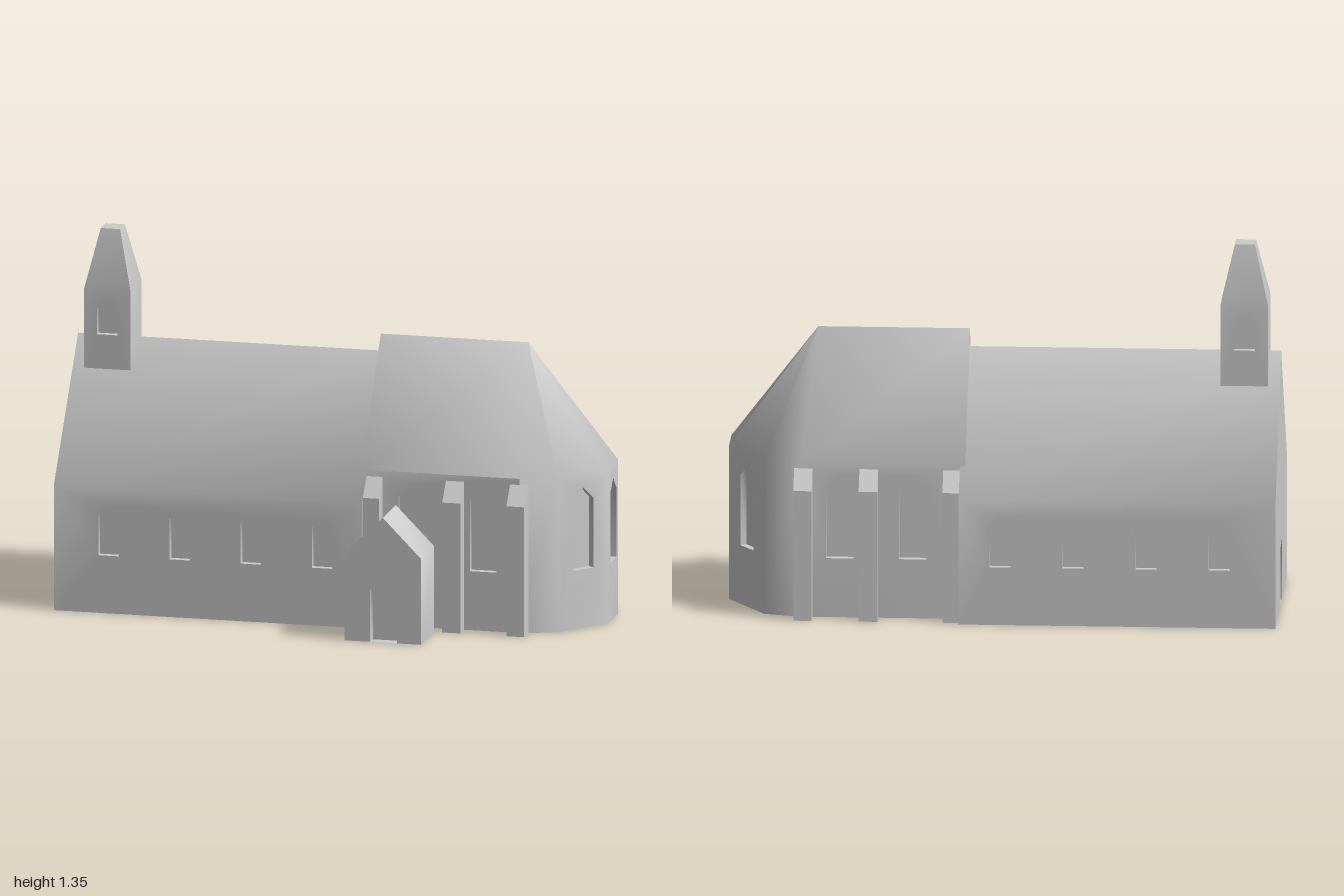
import * as THREE from 'three';
import { mergeGeometries, toCreasedNormals } from 'three/addons/utils/BufferGeometryUtils.js';

const stone = new THREE.MeshStandardMaterial({ color: 0xcccccc });
stone.name = 'pale stone';

// Flat convex polygon, corners counter-clockwise from outside
function face(...pts) {
  const pos = [];
  for (let i = 1; i < pts.length - 1; i++) pos.push(...pts[0], ...pts[i], ...pts[i + 1]);
  const g = new THREE.BufferGeometry();
  g.setAttribute('position', new THREE.Float32BufferAttribute(pos, 3));
  return g;
}

function flat(points) {
  const g = new THREE.ShapeGeometry(points).toNonIndexed();
  g.deleteAttribute('uv');
  g.deleteAttribute('normal');
  return g;
}

// Pointed opening: centre along the wall, width, sill, shoulder, tip, recess depth
const opening = (c, w, y0, y1, y2, d = 0.025) => ({
  d, door: y0 === 0,
  pts: [[c - w / 2, y0], [c + w / 2, y0], [c + w / 2, y1], [c, y2], [c - w / 2, y1]],
});

// Wall from a to b ([x, z], outside on the right), with recessed openings and optional gable tip
function wall(a, b, y0, y1, openings = [], tip = null) {
  const V = (p) => new THREE.Vector2(p[0], p[1]);
  const len = Math.hypot(b[0] - a[0], b[1] - a[1]);
  const outline = [[0, y0]], parts = [];
  for (const { pts, door } of openings) {
    if (door) outline.push(pts[0], pts[4], pts[3], pts[2], pts[1]);
  }
  outline.push([len, y0], [len, y1]);
  if (tip) outline.push([len / 2, tip]);
  outline.push([0, y1]);
  const shape = new THREE.Shape(outline.map(V));
  for (const { pts, door, d } of openings) {
    if (!door) shape.holes.push(new THREE.Path(pts.map(V)));
    parts.push(flat(new THREE.Shape(pts.map(V))).translate(0, 0, -d));
    pts.forEach((p, i) => {
      const q = pts[(i + 1) % pts.length];
      parts.push(face([...p, 0], [...q, 0], [...q, -d], [...p, -d]));
    });
  }
  parts.push(flat(shape));
  const u = new THREE.Vector3((b[0] - a[0]) / len, 0, (b[1] - a[1]) / len);
  const up = new THREE.Vector3(0, 1, 0);
  const m = new THREE.Matrix4().makeBasis(u, up, u.clone().cross(up)).setPosition(a[0], 0, a[1]);
  return mergeGeometries(parts).applyMatrix4(m);
}

// Joins faces into one mesh, smooth over gentle bends and sharp at corners
function solid(name, parts) {
  const mesh = new THREE.Mesh(toCreasedNormals(mergeGeometries(parts), 1.0), stone);
  mesh.name = name;
  return mesh;
}

// Gabled block centred on its origin, ridge along z, front gable facing +z
function gabled(name, w, d, eave, ridge, front, right = [], left = []) {
  const x = w / 2, z = d / 2;
  return solid(name, [
    wall([-x, z], [x, z], 0, eave, front, ridge),
    wall([x, z], [x, -z], 0, eave, right),
    wall([x, -z], [-x, -z], 0, eave, [], ridge),
    wall([-x, -z], [-x, z], 0, eave, left),
    face([x, eave, z], [x, eave, -z], [0, ridge, -z], [0, ridge, z]),
    face([-x, eave, -z], [-x, eave, z], [0, ridge, z], [0, ridge, -z]),
    face([-x, 0, -z], [x, 0, -z], [x, 0, z], [-x, 0, z]),
  ]);
}

function makeChancel() {
  const eave = 0.575, ridge = 1.01, mid = -0.0875;
  const plan = [[0.13, 0.214], [0.72, 0.214], [0.855, 0.175], [1, 0], [1, -0.15],
    [0.86, -0.355], [0.73, -0.388], [0.13, -0.388]];
  const west = [0.13, ridge, mid], east = [0.68, ridge, mid];
  const tall = (c) => opening(c, 0.1, 0.22, 0.485, 0.53);
  const parts = [face(...plan.slice().reverse().map(([x, z]) => [x, 0, z]))];
  plan.forEach((a, i) => {
    const b = plan[(i + 1) % plan.length];
    const len = Math.hypot(b[0] - a[0], b[1] - a[1]);
    // side windows, then one in each of the three end facets
    let windows = [];
    if (i === 0) windows = [tall(0.19), tall(0.455)];
    if (i === 6) windows = [tall(len - 0.455), tall(len - 0.19)];
    if (i >= 2 && i <= 4) windows = [opening(len / 2, 0.09, 0.22, 0.48, 0.525)];
    parts.push(wall(a, b, 0, eave, windows, i === 7 ? ridge : null));
    // roof slopes and hipped end
    const A = [a[0], eave, a[1]], B = [b[0], eave, b[1]];
    if (i === 0) parts.push(face(A, B, east, west));
    else if (i === 6) parts.push(face(A, B, west, east));
    else if (i < 6) parts.push(face(A, B, east));
  });
  return solid('chancel', parts);
}

function makeTurret() {
  const ring = (x, z) => [[-x, z], [x, z], [x, -z], [-x, -z]];
  const base = ring(0.086, 0.086), top = ring(0.036, 0.037);
  const parts = [face(...top.map(([x, z]) => [x, 1.35, z])),
    face(...base.slice().reverse().map(([x, z]) => [x, 0.8, z]))];
  base.forEach((a, i) => {
    const j = (i + 1) % 4, b = base[j];
    parts.push(wall(a, b, 0.8, 1.135, i % 2 ? [] : [opening(0.086, 0.076, 0.965, 1.06, 1.1)]));
    parts.push(face([a[0], 1.135, a[1]], [b[0], 1.135, b[1]],
      [top[j][0], 1.35, top[j][1]], [top[i][0], 1.35, top[i][1]]));
  });
  const turret = solid('bellTurret', parts);
  turret.position.set(-0.871, 0, -0.097);
  return turret;
}

// Buttress with a sloping cap; side is +1 at the front, -1 at the back
function makeButtress(x, w, side) {
  const profile = new THREE.Shape([[-0.02, 0], [0.06, 0], [0.06, 0.485], [0, 0.555], [-0.02, 0.555]]
    .map((p) => new THREE.Vector2(...p)));
  const g = new THREE.ExtrudeGeometry(profile, { depth: w, bevelEnabled: false });
  g.translate(0, 0, -w / 2).rotateY(-side * Math.PI / 2);
  const mesh = new THREE.Mesh(g, stone);
  mesh.name = side > 0 ? 'frontButtress' : 'backButtress';
  mesh.position.set(x, 0, side > 0 ? 0.212 : -0.388);
  return mesh;
}

export function createModel() {
  const church = new THREE.Group();
  church.name = 'church';

  // Nave with four windows a side and a door in the end gable
  const xs = [0.205, 0.47, 0.735, 1];
  const small = (c) => opening(c, 0.076, 0.215, 0.365, 0.4);
  const nave = gabled('nave', 0.75, 1.15, 0.465, 0.945,
    [opening(0.375, 0.1, 0, 0.2, 0.24, 0.04)],
    xs.map(small), xs.map((c) => small(1.15 - c)));
  nave.rotation.y = -Math.PI / 2;
  nave.position.set(-0.425, 0, -0.095);

  // Porch with its own door
  const porch = gabled('porch', 0.285, 0.2, 0.32, 0.465, [opening(0.145, 0.1, 0, 0.195, 0.238, 0.04)]);
  porch.position.set(0.273, 0, 0.37);

  church.add(nave, makeChancel(), makeTurret(), porch);
  for (const side of [1, -1]) {
    for (const [x, w] of [[0.18, 0.06], [0.48, 0.068], [0.718, 0.066]]) church.add(makeButtress(x, w, side));
  }
  return church;
}
